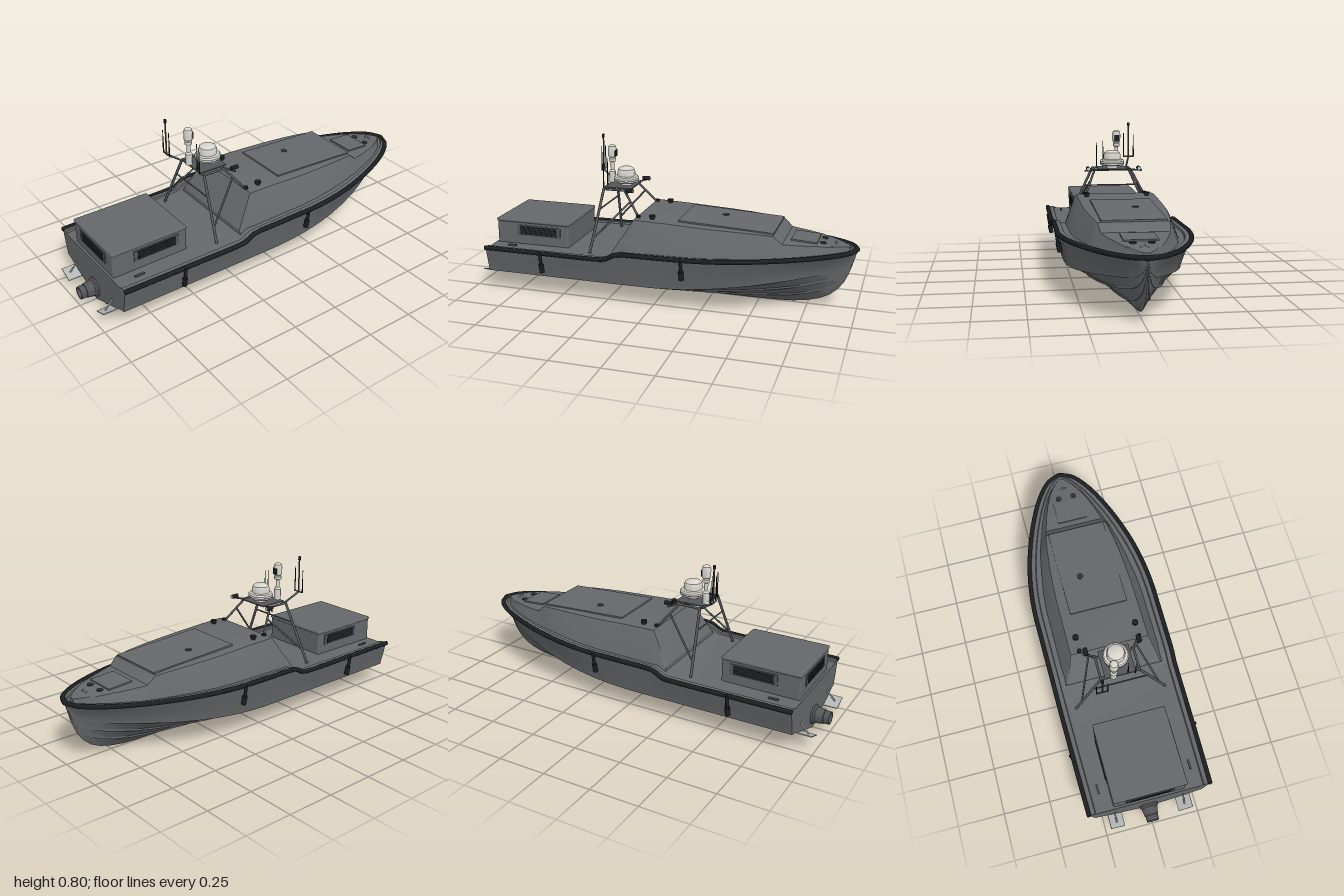
import * as THREE from 'three';
import { toCreasedNormals } from 'three/addons/utils/BufferGeometryUtils.js';
import { RoundedBoxGeometry } from 'three/addons/geometries/RoundedBoxGeometry.js';

const mat = (name, color, side = THREE.FrontSide) => {
  const m = new THREE.MeshStandardMaterial({ color, side });
  m.name = name;
  return m;
};

// Smooth, monotone interpolation through [x, value] pairs
function sample(keys, x) {
  const n = keys.length;
  if (x <= keys[0][0]) return keys[0][1];
  if (x >= keys[n - 1][0]) return keys[n - 1][1];
  const slope = i => (keys[i + 1][1] - keys[i][1]) / (keys[i + 1][0] - keys[i][0]);
  const tangent = i => {
    if (i === 0) return slope(0);
    if (i === n - 1) return slope(n - 2);
    const a = slope(i - 1), b = slope(i);
    return a * b <= 0 ? 0 : 2 * a * b / (a + b);
  };
  let i = 0;
  while (x > keys[i + 1][0]) i++;
  const h = keys[i + 1][0] - keys[i][0], t = (x - keys[i][0]) / h, u = 1 - t;
  return keys[i][1] * (1 + 2 * t) * u * u + tangent(i) * h * t * u * u
    + keys[i + 1][1] * t * t * (3 - 2 * t) - tangent(i + 1) * h * t * t * u;
}

// Skin closed [y, z] loops along x and cap both ends
function loft(xs, section, crease = 0.45) {
  const pos = [], index = [], loops = xs.map(section), n = loops[0].length;
  loops.forEach((loop, i) => loop.forEach(([y, z]) => pos.push(xs[i], y, z)));
  const last = xs.length - 1;
  for (let i = 0; i < last; i++) for (let j = 0; j < n; j++) {
    const a = i * n + j, b = i * n + (j + 1) % n;
    index.push(a, a + n, b, b, a + n, b + n);
  }
  [0, last].forEach(i => {
    const c = pos.length / 3;
    pos.push(xs[i], loops[i].reduce((s, p) => s + p[0], 0) / n, 0);
    for (let j = 0; j < n; j++) {
      const a = i * n + j, b = i * n + (j + 1) % n;
      i === 0 ? index.push(c, a, b) : index.push(c, b, a);
    }
  });
  const g = new THREE.BufferGeometry();
  g.setAttribute('position', new THREE.Float32BufferAttribute(pos, 3));
  g.setIndex(index);
  return toCreasedNormals(g, crease);
}

const SHEER_Y = [[-0.91, 0.24], [-0.25, 0.245], [-0.17, 0.278], [0.2, 0.285], [0.6, 0.3], [0.985, 0.316]];
const SHEER_Z = [[-0.91, 0.318], [-0.4, 0.325], [0.2, 0.328], [0.4, 0.308], [0.6, 0.258], [0.8, 0.178],
  [0.9, 0.118], [0.96, 0.062], [0.985, 0.004]];
const CHINE_Y = [[-0.91, 0.108], [0, 0.11], [0.2, 0.122], [0.4, 0.145], [0.6, 0.172], [0.8, 0.2], [0.9, 0.215],
  [0.96, 0.25], [0.985, 0.307]];
const CHINE_Z = [[-0.91, 0.288], [0, 0.292], [0.2, 0.285], [0.4, 0.258], [0.6, 0.2], [0.8, 0.108], [0.9, 0.052],
  [0.96, 0.016], [0.985, 0.002]];
const KEEL_Y = [[-0.91, 0], [0.5, 0], [0.65, 0.004], [0.75, 0.018], [0.81, 0.035], [0.86, 0.06], [0.9, 0.095],
  [0.93, 0.135], [0.96, 0.21], [0.985, 0.3]];
const ROOF_Y = [[-0.22, 0.272], [-0.12, 0.432], [0.2, 0.42], [0.59, 0.4], [0.635, 0.36], [0.8, 0.35], [0.95, 0.33]];
const ROOF_Z = [[-0.22, 0.262], [-0.12, 0.215], [0.2, 0.212], [0.4, 0.2], [0.59, 0.175], [0.635, 0.165],
  [0.8, 0.112], [0.9, 0.06], [0.95, 0.015]];
const BASE_Z = [[-0.22, 0.272], [0.2, 0.272], [0.4, 0.25], [0.6, 0.208], [0.8, 0.138], [0.9, 0.08], [0.95, 0.025]];

function hullSection(x) {
  const k = sample(KEEL_Y, x), cy = sample(CHINE_Y, x), cz = sample(CHINE_Z, x);
  const sy = sample(SHEER_Y, x), sz = sample(SHEER_Z, x);
  const y = t => k + (cy - k) * t;
  const flare = sample([[-0.91, 0.55], [0.3, 0.5], [0.8, 0.38]], x);
  const half = [[k, 0]];
  // bottom with two spray strakes and a chine flat
  [[0.31, 0.37], [0.63, 0.69]].forEach(([a, b]) =>
    half.push([y(a), cz * a], [y(a), cz * b], [y(b), cz * (b + 0.004)]));
  half.push([y(0.96), cz * 0.95], [y(0.96), cz], [cy + 0.004, cz + 0.001],
    [(cy + sy) / 2, cz + (sz - cz) * flare], [sy, sz],
    [sy + 0.004, Math.max(0, sz - 0.012)], [sy + 0.004, Math.max(0, sz - 0.03)],
    [sy - 0.006, Math.max(0, sz - 0.034)], [sy - 0.006, 0]);
  const mirrored = half.slice(1).reverse().map(([a, b]) => [a, -b]);
  return [...mirrored, ...half];
}

function cabinSection(x) {
  const base = sample(SHEER_Y, x) - 0.02, b = sample(BASE_Z, x);
  const y = sample(ROOF_Y, x), w = sample(ROOF_Z, x);
  const half = [[base, b], [y - 0.012, w], [y - 0.003, w * 0.97], [y, w * 0.91]];
  return [...half.slice().reverse().map(([a, c]) => [a, -c]), ...half];
}

export function createModel() {
  const root = new THREE.Group();
  const grey = mat('hull grey', 0x66676a), black = mat('rubber black', 0x1d1e20);
  const white = mat('dome white', 0xd6d4cd), mast = mat('mast grey', 0x55565a);
  const steel = mat('bare metal', 0xb4b6b6, THREE.DoubleSide), dark = mat('grille dark', 0x303134);

  const add = (name, geo, m, x = 0, y = 0, z = 0, parent = root) => {
    const mesh = new THREE.Mesh(geo, m);
    mesh.name = name;
    mesh.position.set(x, y, z);
    parent.add(mesh);
    return mesh;
  };
  const box = (name, m, w, h, d, x, y, z) => add(name, new THREE.BoxGeometry(w, h, d), m, x, y, z);
  const disc = (name, m, r, h, x, y, z) => add(name, new THREE.CylinderGeometry(r, r, h, 20), m, x, y, z);
  const rod = (name, a, b, r = 0.006, m = mast, r2 = r) => {
    const p = new THREE.Vector3(...a), q = new THREE.Vector3(...b);
    const d = q.clone().sub(p), c = p.clone().add(q).multiplyScalar(0.5);
    const mesh = add(name, new THREE.CylinderGeometry(r2, r, d.length(), 10), m, c.x, c.y, c.z);
    mesh.quaternion.setFromUnitVectors(new THREE.Vector3(0, 1, 0), d.normalize());
    return mesh;
  };
  const lathe = (name, m, pts, x, y, z) =>
    add(name, toCreasedNormals(new THREE.LatheGeometry(pts.map(p => new THREE.Vector2(...p)), 32), 0.6), m, x, y, z);

  // Hull, deck and trunk cabin
  const hullX = [-0.91, -0.6, -0.25, -0.23, -0.21, -0.19, -0.17, 0, 0.1, 0.2, 0.3, 0.4, 0.5, 0.6, 0.68, 0.75,
    0.81, 0.86, 0.9, 0.93, 0.95, 0.965, 0.977, 0.985];
  add('hull', loft(hullX, hullSection), grey);
  const cabinX = [-0.22, -0.12, 0.05, 0.2, 0.3, 0.4, 0.5, 0.59, 0.635, 0.72, 0.8, 0.86, 0.9, 0.93, 0.95];
  add('cabin', loft(cabinX, cabinSection), grey);
  box('roofPanel', grey, 0.49, 0.012, 0.31, 0.345, 0.415, 0).rotation.z = -0.048;
  box('foredeckHatch', grey, 0.13, 0.008, 0.16, 0.73, 0.357, 0).rotation.z = -0.06;

  // Rubber rail around the sheer, with hanging fender straps
  const side = [...hullX.filter(x => x < 0.98)].map(x =>
    new THREE.Vector3(x, sample(SHEER_Y, x), sample(SHEER_Z, x) + 0.003));
  const tip = new THREE.Vector3(0.987, 0.316, 0);
  const path = [...side, tip, ...side.slice().reverse().map(p => new THREE.Vector3(p.x, p.y, -p.z))];
  add('rubRail', new THREE.TubeGeometry(new THREE.CatmullRomCurve3(path), 220, 0.012, 10), black);
  for (const s of [1, -1]) {
    for (const x of [-0.59, 0.165]) {
      const y = sample(SHEER_Y, x);
      rod('fenderStrap', [x, y + 0.006, s * 0.337], [x, y - 0.07, s * 0.325], 0.008, black);
      rod('fenderPad', [x, y - 0.06, s * 0.326], [x, y - 0.107, s * 0.316], 0.013, black);
    }
    // Rail end caps at the transom
    const end = add('railEnd', new THREE.SphereGeometry(0.012, 12, 8), black, -0.91, 0.24, s * 0.321);
    end.scale.x = 0.5;
    // Trim tabs, following the slope of the bottom
    const tab = box('trimTab', steel, 0.075, 0.005, 0.08, -0.945, 0.066, s * 0.185);
    tab.rotation.x = -s * 0.36;
    rod('tabRam', [-0.91, 0.12, s * 0.185], [-0.955, 0.07, s * 0.185], 0.004, steel);
    // Roof vents, cleats and foredeck fittings
    disc('ventBase', black, 0.012, 0.02, -0.035, 0.434, s * 0.16);
    disc('ventCap', black, 0.016, 0.01, -0.035, 0.444, s * 0.16);
    disc('deckFitting', dark, 0.016, 0.006, 0.82, 0.349, s * 0.042);
    box('aftCleat', mast, 0.05, 0.008, 0.01, -0.79, 0.243, s * 0.245);
    for (const x of [0.15, 0.28, 0.41, 0.54])
      disc('roofStud', dark, 0.004, 0.004, x, 0.431 - x * 0.048, s * 0.09);
  }
  disc('roofCap', dark, 0.018, 0.005, 0.3, 0.423, -0.05);
  add('bowBitt', new THREE.TorusGeometry(0.016, 0.004, 8, 16, Math.PI), steel, 0.88, 0.336, 0).rotation.y = Math.PI / 2;

  // Engine box with louvred grilles on the sides and back
  add('engineBox', new RoundedBoxGeometry(0.41, 0.13, 0.38, 3, 0.01), grey, -0.695, 0.295, 0);
  add('engineLid', new RoundedBoxGeometry(0.416, 0.018, 0.386, 2, 0.008), grey, -0.695, 0.36, 0);
  const grille = (x, z, angle) => {
    const g = new THREE.Group();
    g.name = 'grille';
    g.position.set(x, 0.312, z);
    g.rotation.y = angle;
    add('grilleFrame', new THREE.BoxGeometry(0.25, 0.058, 0.006), mast, 0, 0, 0, g);
    add('grillePlate', new THREE.BoxGeometry(0.21, 0.046, 0.008), black, 0, 0, 0.001, g);
    for (let i = 0; i < 4; i++)
      add('louvre', new THREE.BoxGeometry(0.2, 0.004, 0.006), dark, 0, -0.016 + i * 0.0107, 0.004, g);
    root.add(g);
  };
  grille(-0.66, 0.191, 0);
  grille(-0.66, -0.191, Math.PI);
  grille(-0.901, 0, -Math.PI / 2);

  // Water jet on the transom
  const jet = lathe('waterJet', mast, [[0.05, 0], [0.05, 0.012], [0.042, 0.02], [0.036, 0.06], [0.033, 0.062],
    [0.033, 0.09], [0.026, 0.09], [0.022, 0.05], [0, 0.05]], -0.908, 0.075, 0);
  jet.rotation.z = Math.PI / 2;

  // Equipment mast: legs, braces, crossbars, platform
  for (const s of [1, -1]) {
    rod('mastLeg', [-0.35, 0.24, s * 0.243], [-0.32, 0.55, s * 0.1], 0.007);
    rod('frontBrace', [-0.11, 0.43, s * 0.156], [-0.205, 0.55, s * 0.1], 0.006);
    rod('diagonalBrace', [-0.343, 0.31, s * 0.21], [-0.165, 0.5, s * 0.124], 0.005);
    rod('platformRail', [-0.325, 0.55, s * 0.1], [-0.2, 0.55, s * 0.1], 0.006);
    rod('lightArm', [-0.2, 0.55, s * 0.09], [-0.17, 0.55, s * 0.155], 0.005);
    rod('floodlight', [-0.185, 0.562, s * 0.138], [-0.145, 0.562, s * 0.138], 0.011, black);
    rod('lightLens', [-0.146, 0.562, s * 0.138], [-0.143, 0.562, s * 0.138], 0.009, white);
    disc('braceFoot', black, 0.012, 0.014, -0.11, 0.435, s * 0.16);
  }
  rod('topBarAft', [-0.32, 0.55, -0.1], [-0.32, 0.55, 0.1]);
  rod('topBarFront', [-0.205, 0.55, -0.1], [-0.205, 0.55, 0.1]);
  rod('middleBar', [-0.33, 0.45, -0.147], [-0.33, 0.45, 0.147], 0.004);
  box('mastPlatform', mast, 0.15, 0.006, 0.16, -0.25, 0.554, 0);

  // Radar dome
  lathe('radarDome', white, [[0, 0], [0.03, 0], [0.03, 0.014], [0.055, 0.016], [0.065, 0.022], [0.066, 0.04],
    [0.06, 0.048], [0.047, 0.051], [0.047, 0.072], [0.042, 0.086], [0.028, 0.096], [0, 0.099]], -0.23, 0.556, 0);
  disc('domeBand', black, 0.0665, 0.003, -0.23, 0.586, 0);

  // Camera turret with a dark lens
  lathe('cameraTurret', white, [[0, 0], [0.018, 0], [0.018, 0.06], [0.01, 0.07], [0.01, 0.11], [0.019, 0.115],
    [0.019, 0.13], [0.015, 0.135], [0.022, 0.14], [0.023, 0.18], [0.019, 0.196], [0.01, 0.203], [0, 0.204]],
    -0.32, 0.555, -0.035);
  box('cameraLens', black, 0.008, 0.034, 0.026, -0.3, 0.715, -0.035);

  // Antenna bracket, mast light and whips
  rod('antennaArm', [-0.325, 0.55, -0.09], [-0.4, 0.6, -0.115], 0.005);
  rod('antennaBar', [-0.4, 0.602, -0.087], [-0.4, 0.602, -0.143], 0.004);
  rod('mastPole', [-0.4, 0.6, -0.115], [-0.4, 0.78, -0.115], 0.004);
  rod('mastLight', [-0.4, 0.776, -0.115], [-0.4, 0.795, -0.115], 0.007, black);
  [[-0.4, 0.6, -0.087, 0.735], [-0.4, 0.6, -0.143, 0.725], [-0.33, 0.55, 0.075, 0.688], [-0.32, 0.55, 0.04, 0.7]]
    .forEach(([x, y, z, top]) => rod('whipAntenna', [x, y, z], [x, top, z], 0.004, black, 0.0015));
  return root;
}
